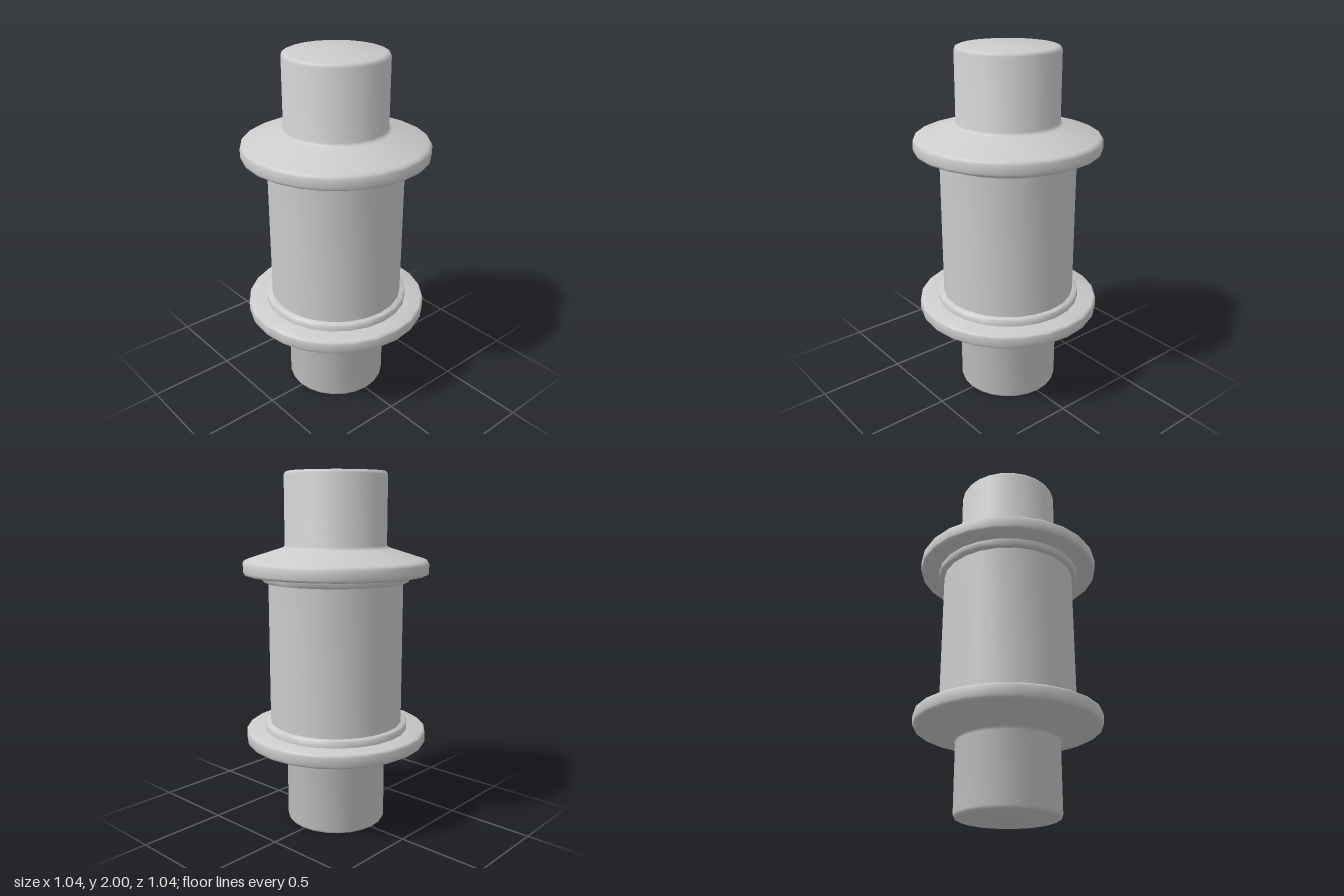
import * as THREE from 'three';
import { toCreasedNormals } from 'three/addons/utils/BufferGeometryUtils.js';

const SIDES = 24;
const material = new THREE.MeshStandardMaterial({ color: 0xcccccc });

// Turn a profile of [radius, height] points, listed from bottom to top
function turned(name, profile) {
  const points = profile.map(([r, y]) => new THREE.Vector2(r, y));
  const geometry = toCreasedNormals(new THREE.LatheGeometry(points, SIDES), 0.9);
  const mesh = new THREE.Mesh(geometry, material);
  mesh.name = name;
  return mesh;
}

// Flip a profile upside down, keeping the bottom-to-top order
const flipped = (profile) => profile.map(([r, y]) => [r, -y]).reverse();

export function createModel() {
  const group = new THREE.Group();
  group.name = 'flangedSpool';

  // Heights are measured from the middle of the spool
  const flange = [
    [0.3, 0.443], [0.508, 0.443], [0.516, 0.448], [0.519, 0.458],
    [0.519, 0.505], [0.513, 0.517], [0.498, 0.525],
    [0.305, 0.586], [0.291, 0.592], [0.285, 0.604],
  ];
  const shaft = [
    [0.285, 0.604], [0.285, 0.98], [0.279, 0.994], [0.265, 1], [0, 1],
  ];
  const collar = [
    [0.3, 0.403], [0.406, 0.403], [0.411, 0.408], [0.411, 0.443],
  ];

  // Each end: a collar, a sloped flange and a shaft with a rounded rim
  const endProfile = [...flange, ...shaft.slice(1)];
  group.add(
    turned('topFlangeAndShaft', endProfile),
    turned('bottomFlangeAndShaft', flipped(endProfile)),
    turned('topCollar', collar),
    turned('bottomCollar', flipped(collar)),
  );

  // Central barrel
  group.add(turned('barrel', [[0.379, -0.41], [0.379, 0.41]]));

  group.children.forEach((part) => { part.position.y = 1; });
  return group;
}
